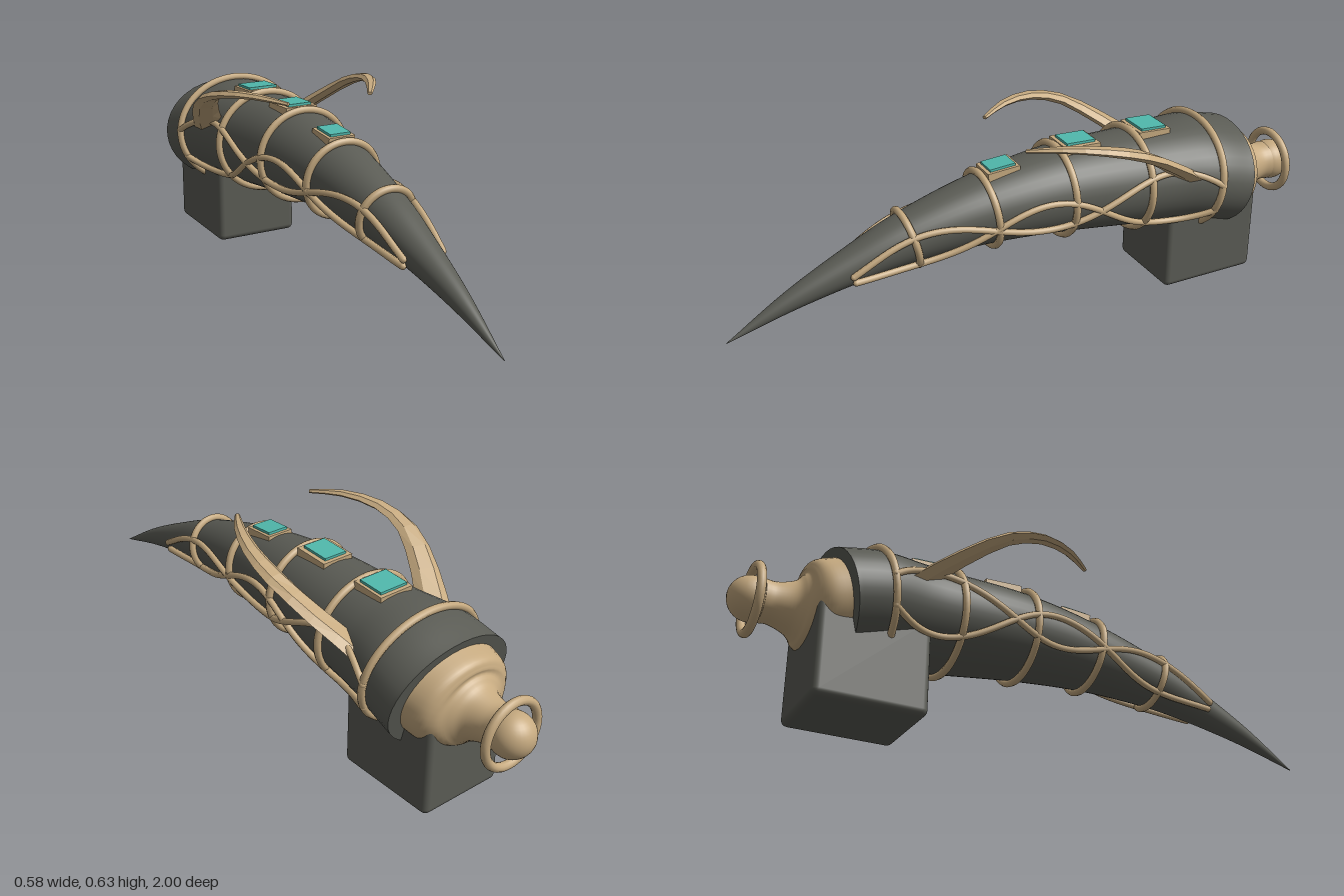
import * as THREE from 'three';
import { RoundedBoxGeometry } from 'three/addons/geometries/RoundedBoxGeometry.js';

const V = (x, y, z) => new THREE.Vector3(x, y, z);

// Spine from stations [z, y, rx, ry]: curved centre line with oval sections square to it
function spine(stations) {
  const centre = new THREE.CatmullRomCurve3(stations.map(([z, y]) => V(0, y, z)), false, 'catmullrom');
  const size = new THREE.CatmullRomCurve3(stations.map(([, , rx, ry]) => V(rx, ry, 0)), false, 'catmullrom');
  const frame = (t) => {
    const a = centre.getPoint(Math.max(0, t - 0.002));
    const dir = centre.getPoint(Math.min(1, t + 0.002)).sub(a).normalize();
    return { c: centre.getPoint(t), up: V(0, dir.z, -dir.y), r: size.getPoint(t), tilt: Math.atan2(-dir.y, dir.z) };
  };
  const point = (t, phi, off = 0) => {
    const { c, up, r } = frame(t);
    return c.addScaledVector(up, (r.y + off) * Math.sin(phi)).add(V((r.x + off) * Math.cos(phi), 0, 0));
  };
  const at = (z) => {
    let lo = 0, hi = 1;
    for (let i = 0; i < 30; i++) {
      const mid = (lo + hi) / 2;
      if (centre.getPoint(mid).z < z) lo = mid; else hi = mid;
    }
    return lo;
  };
  return { frame, point, at };
}

// Skin a list of equal-length rings and close both ends
function loft(rings) {
  const n = rings[0].length, pts = rings.flat(), index = [];
  for (let i = 0; i < rings.length - 1; i++) {
    for (let j = 0; j < n; j++) {
      const a = i * n + j, b = i * n + (j + 1) % n;
      index.push(a, b, a + n, b, b + n, a + n);
    }
  }
  [rings[0], rings[rings.length - 1]].forEach((ring, end) => {
    const base = pts.length;
    const mid = ring.reduce((s, p) => s.add(p), V(0, 0, 0)).divideScalar(n);
    pts.push(...ring, mid);
    for (let j = 0; j < n; j++) {
      const a = base + j, b = base + (j + 1) % n;
      index.push(base + n, ...(end ? [a, b] : [b, a]));
    }
  });
  const g = new THREE.BufferGeometry().setFromPoints(pts);
  g.setIndex(index);
  g.computeVertexNormals();
  return g;
}

const skin = (s, steps, sides) => loft(Array.from({ length: steps + 1 }, (_, i) =>
  Array.from({ length: sides }, (_, j) => s.point(i / steps, (j / sides) * Math.PI * 2))));

export function createModel() {
  const model = new THREE.Group();
  const grey = new THREE.MeshStandardMaterial({ color: 0x5b5c55 });
  grey.name = 'dark grey';
  const tan = new THREE.MeshStandardMaterial({ color: 0xc6aa80 });
  tan.name = 'tan';
  const tanFaceted = tan.clone();
  tanFaceted.name = 'tan faceted';
  tanFaceted.flatShading = true;
  const teal = new THREE.MeshStandardMaterial({ color: 0x50b8ac });
  teal.name = 'teal';
  const add = (name, geometry, material, parent = model) => {
    const m = new THREE.Mesh(geometry, material);
    m.name = name;
    parent.add(m);
    return m;
  };

  // Curved tapering body
  const body = spine([
    [-0.695, 0.335, 0.225, 0.175], [-0.578, 0.363, 0.212, 0.173], [-0.45, 0.372, 0.185, 0.164],
    [-0.34, 0.378, 0.172, 0.157], [-0.08, 0.392, 0.147, 0.14], [0.18, 0.38, 0.115, 0.112],
    [0.42, 0.342, 0.083, 0.083], [0.6, 0.292, 0.058, 0.058], [0.8, 0.222, 0.031, 0.031], [1, 0.133, 0.001, 0.001],
  ]);
  add('body', skin(body, 72, 40), grey);

  // Bell-shaped rear socket with knob and loop
  const bell = spine([
    [-0.905, 0.314, 0.066, 0.066], [-0.87, 0.314, 0.062, 0.064], [-0.82, 0.313, 0.077, 0.08],
    [-0.795, 0.313, 0.105, 0.1], [-0.775, 0.314, 0.142, 0.122], [-0.745, 0.32, 0.168, 0.145],
    [-0.69, 0.335, 0.18, 0.15],
  ]);
  add('rearSocket', skin(bell, 30, 36), tan);
  add('knob', new THREE.SphereGeometry(0.068, 28, 20), tan).position.set(0, 0.312, -0.932);
  add('rearLoop', new THREE.TorusGeometry(0.1, 0.014, 12, 40), tan).position.set(0, 0.312, -0.93);

  // Block underneath
  add('baseBlock', new RoundedBoxGeometry(0.29, 0.31, 0.345, 3, 0.02), grey).position.set(0, 0.155, -0.602);

  // Bands round the body
  [-0.578, -0.34, -0.08, 0.17, 0.425].forEach((z) => {
    const t = body.at(z);
    const pts = Array.from({ length: 32 }, (_, j) => body.point(t, (j / 32) * Math.PI * 2, 0.008));
    add('band', new THREE.TubeGeometry(new THREE.CatmullRomCurve3(pts, true), 64, 0.012, 8, true), tan);
  });

  // Braided wires along both sides
  [1, -1].forEach((side) => [1, -1].forEach((wave) => {
    const pts = Array.from({ length: 41 }, (_, i) => {
      const z = 0.62 - i * 0.03;
      const phi = -0.16 + wave * (0.12 + 0.46 * Math.cos(((z - 0.43) / 0.42) * Math.PI));
      const p = body.point(body.at(z), phi, 0.01);
      p.x *= side;
      return p;
    });
    const wire = new THREE.CatmullRomCurve3(pts);
    add('wire', new THREE.TubeGeometry(wire, 90, 0.0105, 8), tan);
    // Rounded wire ends
    [pts[0], pts[40]].forEach((p) => add('wireEnd', new THREE.SphereGeometry(0.0105, 8, 6), tan).position.copy(p));
  }));

  // Gems in frames along the top
  [[-0.405, 0.12, 0.115, 0.1, 0.09], [-0.147, 0.11, 0.125, 0.08, 0.1], [0.107, 0.09, 0.108, 0.07, 0.085]].forEach(([z, w, d, gw, gd]) => {
    const { c, up, r, tilt } = body.frame(body.at(z));
    const setting = new THREE.Group();
    setting.name = 'gemSetting';
    setting.position.copy(c).addScaledVector(up, r.y);
    setting.rotation.x = tilt;
    add('gemFrame', new THREE.BoxGeometry(w, 0.03, d), tan, setting).position.y = -0.004;
    add('gem', new THREE.BoxGeometry(gw, 0.014, gd), teal, setting).position.y = 0.012;
    model.add(setting);
  });

  // Curved faceted tusks, mirrored
  const path = new THREE.CatmullRomCurve3([
    V(0.145, 0.405, -0.49), V(0.212, 0.495, -0.37), V(0.256, 0.575, -0.24),
    V(0.248, 0.612, -0.12), V(0.2, 0.623, 0), V(0.142, 0.614, 0.092),
  ]);
  const tusk = (side) => {
    const rings = [];
    for (let i = 0; i <= 10; i++) {
      const t = i / 10, c = path.getPoint(t), dir = path.getTangent(t);
      const across = V(0, 1, 0).cross(dir).normalize();
      const up = dir.clone().cross(across);
      const w = 0.046 * (1 - t) + 0.008, h = 0.017 * (1 - t) + 0.006;
      const ring = Array.from({ length: 6 }, (_, j) => {
        const a = (j / 6) * Math.PI * 2;
        const p = c.clone().addScaledVector(across, w * Math.cos(a)).addScaledVector(up, h * Math.sin(a));
        p.x *= side;
        return p;
      });
      rings.push(side < 0 ? ring.reverse() : ring);
    }
    return loft(rings);
  };
  add('leftTusk', tusk(1), tanFaceted);
  add('rightTusk', tusk(-1), tanFaceted);

  return model;
}
